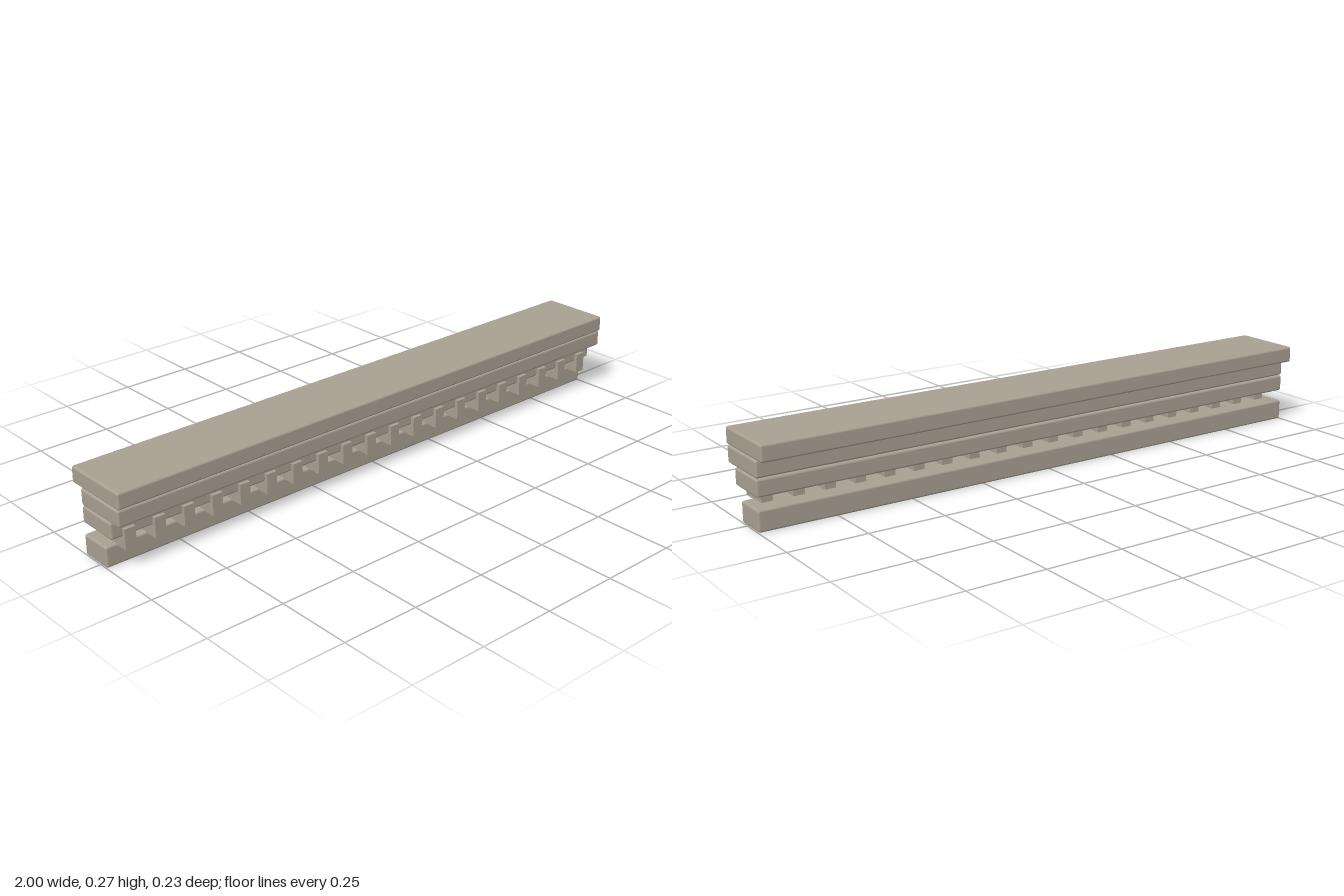
import * as THREE from 'three';
import { RoundedBoxGeometry } from 'three/addons/geometries/RoundedBoxGeometry.js';

export function createModel() {
  const group = new THREE.Group();
  group.name = 'dentilCornice';
  const stone = new THREE.MeshStandardMaterial({ color: 0xa89f92 });

  const add = (name, geometry, x, y, z, parent = group) => {
    const mesh = new THREE.Mesh(geometry, stone);
    mesh.name = name;
    mesh.position.set(x, y, z);
    parent.add(mesh);
  };

  // Full-length moulding courses: bottom, top, back, front
  const courses = [
    ['baseCourse', 0, 0.067, -0.076, 0.033],
    ['lowerCourse', 0.103, 0.157, -0.076, 0.067],
    ['middleCourse', 0.159, 0.212, -0.076, 0.111],
    ['topCourse', 0.214, 0.267, -0.116, 0.116],
  ];
  for (const [name, y0, y1, z0, z1] of courses) {
    const geometry = new RoundedBoxGeometry(2, y1 - y0, z1 - z0, 3, 0.007);
    add(name, geometry, 0, (y0 + y1) / 2, (z0 + z1) / 2);
  }

  // Row of sharp-edged dentil blocks between the base and lower courses
  const dentils = new THREE.Group();
  dentils.name = 'dentils';
  group.add(dentils);
  const count = 20;
  const block = new THREE.BoxGeometry(0.036, 0.066, 0.1);
  for (let i = 0; i < count; i++) {
    const x = -0.945 + (1.89 * i) / (count - 1);
    add('dentil', block, x, 0.097, 0.029, dentils);
  }
  return group;
}
